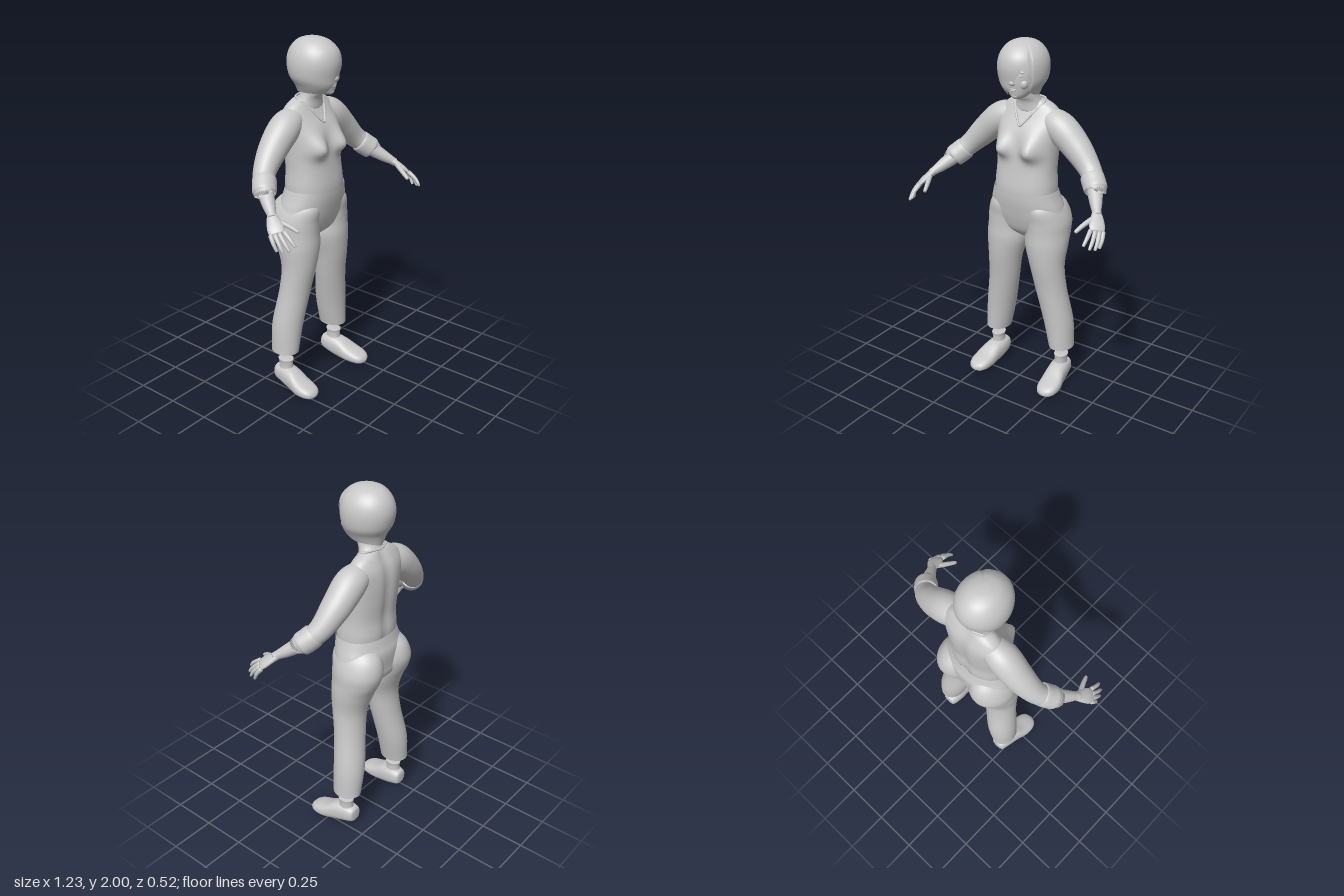
import * as THREE from 'three';

const V = (x, y, z) => new THREE.Vector3(x, y, z);
const X = V(1, 0, 0), Y = V(0, 1, 0), Z = V(0, 0, 1);

// Smooth skin over elliptical rings [x, y, z, r1, r2].
// axis: fixed ring normal (otherwise rings follow the path); side: direction of r1;
// start(angle): where the skin begins along the path; bump(v): vertex rule; m = -1 mirrors in x.
function loft(rings, { axis, side = X, seg = 32, steps = 32, caps = [true, true], pow = 2, start, bump, m = 1 } = {}) {
  const path = new THREE.CatmullRomCurve3(rings.map(r => V(r[0], r[1], r[2])), false, 'catmullrom', 0.5);
  const radii = new THREE.CatmullRomCurve3(rings.map(r => V(r[3], r[4] ?? r[3], 0)), false, 'catmullrom', 0.5);
  const pos = [], idx = [];
  const round = c => Math.sign(c) * Math.abs(c) ** (2 / pow);
  const add = v => { if (bump) bump(v); pos.push(v.x * m, v.y, v.z); };
  const tri = (a, b, c) => m > 0 ? idx.push(a, b, c) : idx.push(a, c, b);
  for (let i = 0; i <= steps; i++) for (let j = 0; j < seg; j++) {
    const a = j / seg * Math.PI * 2, u0 = start ? start(a) : 0;
    const u = u0 + (1 - u0) * i / steps;
    const c = path.getPoint(u), r = radii.getPoint(u);
    const t = axis || path.getTangent(u);
    const s = side.clone().addScaledVector(t, -side.dot(t)).normalize();
    const n = t.clone().cross(s);
    add(c.addScaledVector(s, r.x * round(Math.cos(a))).addScaledVector(n, r.y * round(Math.sin(a))));
  }
  for (let i = 0; i < steps; i++) for (let j = 0; j < seg; j++) {
    const a = i * seg + j, b = i * seg + (j + 1) % seg;
    tri(a, b, a + seg);
    tri(b, b + seg, a + seg);
  }
  caps.forEach((on, k) => {
    if (!on) return;
    const centre = pos.length / 3, base = k * steps * seg;
    add(path.getPoint(k));
    for (let j = 0; j < seg; j++) {
      const a = base + j, b = base + (j + 1) % seg;
      k ? tri(a, b, centre) : tri(b, a, centre);
    }
  });
  const g = new THREE.BufferGeometry();
  g.setAttribute('position', new THREE.Float32BufferAttribute(pos, 3));
  g.setIndex(idx);
  g.computeVertexNormals();
  return g;
}

export function createModel() {
  const root = new THREE.Group();
  const grey = new THREE.MeshStandardMaterial({ color: 0xc8c8c8, side: THREE.DoubleSide });
  grey.name = 'plain grey';
  const part = (name, geo, parent = root) => {
    const mesh = new THREE.Mesh(geo, grey);
    mesh.name = name;
    parent.add(mesh);
    return mesh;
  };
  const ball = (name, p, r) => {
    const mesh = part(name, new THREE.SphereGeometry(1, 20, 14));
    mesh.position.set(...p);
    mesh.scale.set(...r);
  };

  // Shirt body with bust and a shallow spine groove
  part('shirt', loft([
    [0, 1.16, -0.07, 0.178, 0.128], [0, 1.22, -0.073, 0.178, 0.13], [0, 1.31, -0.077, 0.172, 0.122],
    [0, 1.42, -0.09, 0.175, 0.12], [0, 1.52, -0.102, 0.182, 0.112], [0, 1.59, -0.117, 0.186, 0.088],
    [0, 1.645, -0.12, 0.15, 0.062], [0, 1.68, -0.118, 0.085, 0.045],
  ], {
    axis: Y, pow: 2.3, seg: 64, steps: 48,
    bump: v => {
      if (v.z > -0.06) {
        const d = ((Math.abs(v.x) - 0.088) / 0.052) ** 2 + ((v.y - 1.425) / (v.y > 1.425 ? 0.075 : 0.045)) ** 2;
        v.z += 0.06 * Math.exp(-d);
      } else if (v.z < -0.12) v.z += 0.012 * Math.exp(-((v.x / 0.03) ** 2));
    },
  }));

  // V-shaped collar edge running round the neck
  part('collar', new THREE.TubeGeometry(new THREE.CatmullRomCurve3([
    V(0, 1.55, 0.0), V(0.05, 1.612, -0.042), V(0.092, 1.668, -0.09), V(0.075, 1.685, -0.135),
    V(0, 1.685, -0.16), V(-0.075, 1.685, -0.135), V(-0.092, 1.668, -0.09), V(-0.05, 1.612, -0.042),
  ], true, 'catmullrom', 0.25), 80, 0.006, 8, true));

  // Seat and waist of the trousers
  part('trouserSeat', loft([
    [0, 0.9, -0.095, 0.09, 0.05], [0, 0.95, -0.1, 0.19, 0.11], [0, 1.02, -0.092, 0.232, 0.13],
    [0, 1.1, -0.085, 0.215, 0.142], [0, 1.15, -0.075, 0.198, 0.14], [0, 1.195, -0.068, 0.184, 0.136],
  ], { axis: Y, pow: 2.2, seg: 48, caps: [true, false] }));

  // Neck and head
  part('neck', loft([
    [0, 1.62, -0.105, 0.1, 0.06], [0, 1.67, -0.098, 0.075, 0.058],
    [0, 1.71, -0.08, 0.06, 0.06], [0, 1.78, -0.065, 0.058, 0.062],
  ], { axis: Y }));
  part('head', loft([
    [0, 1.706, 0.015, 0.02, 0.02], [0, 1.72, 0.002, 0.046, 0.05], [0, 1.75, -0.02, 0.072, 0.08],
    [0, 1.8, -0.04, 0.092, 0.108], [0, 1.86, -0.05, 0.1, 0.116],
    [0, 1.92, -0.06, 0.09, 0.11], [0, 1.965, -0.06, 0.05, 0.06],
  ], { axis: Y }));
  part('nose', loft([
    [0, 1.843, 0.06, 0.008, 0.008], [0, 1.815, 0.067, 0.011, 0.012],
    [0, 1.793, 0.07, 0.017, 0.015], [0, 1.782, 0.064, 0.012, 0.01],
  ], { axis: V(0, -1, 0), seg: 16, steps: 12 }));
  ball('upperLip', [0, 1.762, 0.056], [0.023, 0.005, 0.012]);
  ball('lowerLip', [0, 1.753, 0.054], [0.02, 0.006, 0.012]);
  ball('chin', [0, 1.724, 0.038], [0.024, 0.017, 0.018]);
  for (const m of [1, -1]) {
    ball('eye', [0.036 * m, 1.833, 0.049], [0.016, 0.008, 0.012]);
    ball('brow', [0.038 * m, 1.854, 0.05], [0.026, 0.007, 0.013]);
    ball('cheek', [0.045 * m, 1.79, 0.033], [0.028, 0.028, 0.022]);
  }

  // Bobbed hair with a fringe swept across the face
  part('hair', loft([
    [-0.01, 1.695, -0.065, 0.068, 0.085], [-0.012, 1.75, -0.05, 0.1, 0.117], [-0.012, 1.8, -0.058, 0.127, 0.138],
    [-0.012, 1.87, -0.06, 0.133, 0.15], [-0.012, 1.93, -0.06, 0.118, 0.136],
    [-0.014, 1.975, -0.063, 0.082, 0.095], [-0.015, 1.995, -0.065, 0.04, 0.046], [-0.015, 2, -0.065, 0.001, 0.001],
  ], {
    axis: Y, seg: 96, steps: 40, caps: [false, false],
    start: a => {
      const c = Math.cos(a), lerp = THREE.MathUtils.mapLinear;
      if (Math.sin(a) > 0) return 0.06 * Math.abs(c);
      if (c < -0.35) return 0.06;
      if (c < 0.76) return lerp(c, -0.35, 0.76, 0.06, 0.52);
      return c < 0.83 ? lerp(c, 0.76, 0.83, 0.52, 0.14) : lerp(c, 0.83, 1, 0.14, 0.06);
    },
  }));

  for (const m of [1, -1]) {
    const limb = new THREE.Group();
    limb.name = m > 0 ? 'leftLimbs' : 'rightLimbs';
    root.add(limb);

    // Trouser leg, open at the hem
    part('trouserLeg', loft([
      [0.22, 0.235, -0.113, 0.07, 0.083], [0.197, 0.4, -0.11, 0.085, 0.09], [0.16, 0.6, -0.085, 0.091, 0.087],
      [0.14, 0.75, -0.07, 0.1, 0.096], [0.127, 0.87, -0.083, 0.121, 0.12], [0.125, 0.95, -0.103, 0.122, 0.138],
      [0.121, 1.02, -0.11, 0.122, 0.147], [0.112, 1.1, -0.097, 0.1, 0.14], [0.1, 1.16, -0.085, 0.06, 0.09],
    ], { axis: Y, seg: 40, steps: 48, caps: [false, true], m }), limb);

    // Shoe and ankle
    part('shoe', loft([
      [0.217, 0.082, -0.176, 0.014, 0.022], [0.217, 0.082, -0.166, 0.042, 0.044], [0.219, 0.078, -0.11, 0.054, 0.057],
      [0.226, 0.065, -0.045, 0.058, 0.06], [0.235, 0.045, 0.02, 0.065, 0.045], [0.238, 0.036, 0.075, 0.06, 0.034],
      [0.238, 0.03, 0.11, 0.042, 0.023], [0.238, 0.026, 0.125, 0.012, 0.008],
    ], { axis: Z, pow: 2.5, m, bump: v => { v.y = Math.max(v.y, 0); } }), limb);
    part('ankle', loft([
      [0.22, 0.08, -0.107, 0.046, 0.055], [0.221, 0.125, -0.107, 0.036, 0.045],
      [0.222, 0.16, -0.107, 0.035, 0.044], [0.222, 0.18, -0.107, 0.039, 0.047],
    ], { axis: Y, seg: 24, steps: 14, caps: [false, true], m }), limb);

    // Sleeve with turned-up cuff
    part('sleeve', loft([
      [0.09, 1.585, -0.118, 0.062], [0.185, 1.545, -0.113, 0.084], [0.29, 1.455, -0.108, 0.077],
      [0.385, 1.36, -0.085, 0.06], [0.452, 1.293, -0.03, 0.052],
    ], { side: Z, caps: [true, false], m }), limb);
    part('cuff', loft([
      [0.405, 1.337, -0.068, 0.052], [0.41, 1.332, -0.064, 0.062], [0.435, 1.307, -0.043, 0.063],
      [0.457, 1.287, -0.022, 0.061], [0.46, 1.284, -0.019, 0.052],
    ], { side: Z, caps: [false, false], steps: 20, m }), limb);

    // Forearm and flattened palm
    part('forearm', loft([
      [0.41, 1.335, -0.065, 0.04], [0.455, 1.285, -0.015, 0.041],
      [0.495, 1.243, 0.04, 0.033], [0.522, 1.216, 0.08, 0.024], [0.535, 1.203, 0.095, 0.023],
    ], { side: Z, seg: 24, steps: 20, m }), limb);
    const across = V(0.055, -0.015, -0.055).normalize();
    part('palm', loft([
      [0.522, 1.216, 0.08, 0.023, 0.02], [0.542, 1.193, 0.108, 0.034, 0.018],
      [0.56, 1.168, 0.138, 0.042, 0.016], [0.573, 1.147, 0.16, 0.038, 0.012],
    ], { side: across, seg: 24, steps: 16, m }), limb);

    // Fingers from index to little, then thumb: knuckle, middle, tip
    [
      [[0.549, 1.158, 0.183], [0.553, 1.128, 0.226], [0.55, 1.1, 0.252]],
      [[0.567, 1.151, 0.168], [0.577, 1.114, 0.21], [0.577, 1.082, 0.238]],
      [[0.582, 1.146, 0.152], [0.594, 1.107, 0.19], [0.594, 1.074, 0.212]],
      [[0.594, 1.143, 0.134], [0.603, 1.108, 0.16], [0.6, 1.073, 0.178]],
      [[0.53, 1.197, 0.11], [0.503, 1.172, 0.167], [0.484, 1.146, 0.216]],
    ].forEach((p, i) => {
      const r = i === 4 ? 0.013 : 0.0105;
      const end = p[2].map((v, k) => v + (v - p[1][k]) * 0.12);
      part(i === 4 ? 'thumb' : 'finger', loft([
        [...p[0], r * 1.15], [...p[1], r], [...p[2], r * 0.75], [...end, r * 0.25],
      ], { side: across, seg: 12, steps: 12, m }), limb);
    });
  }
  return root;
}
